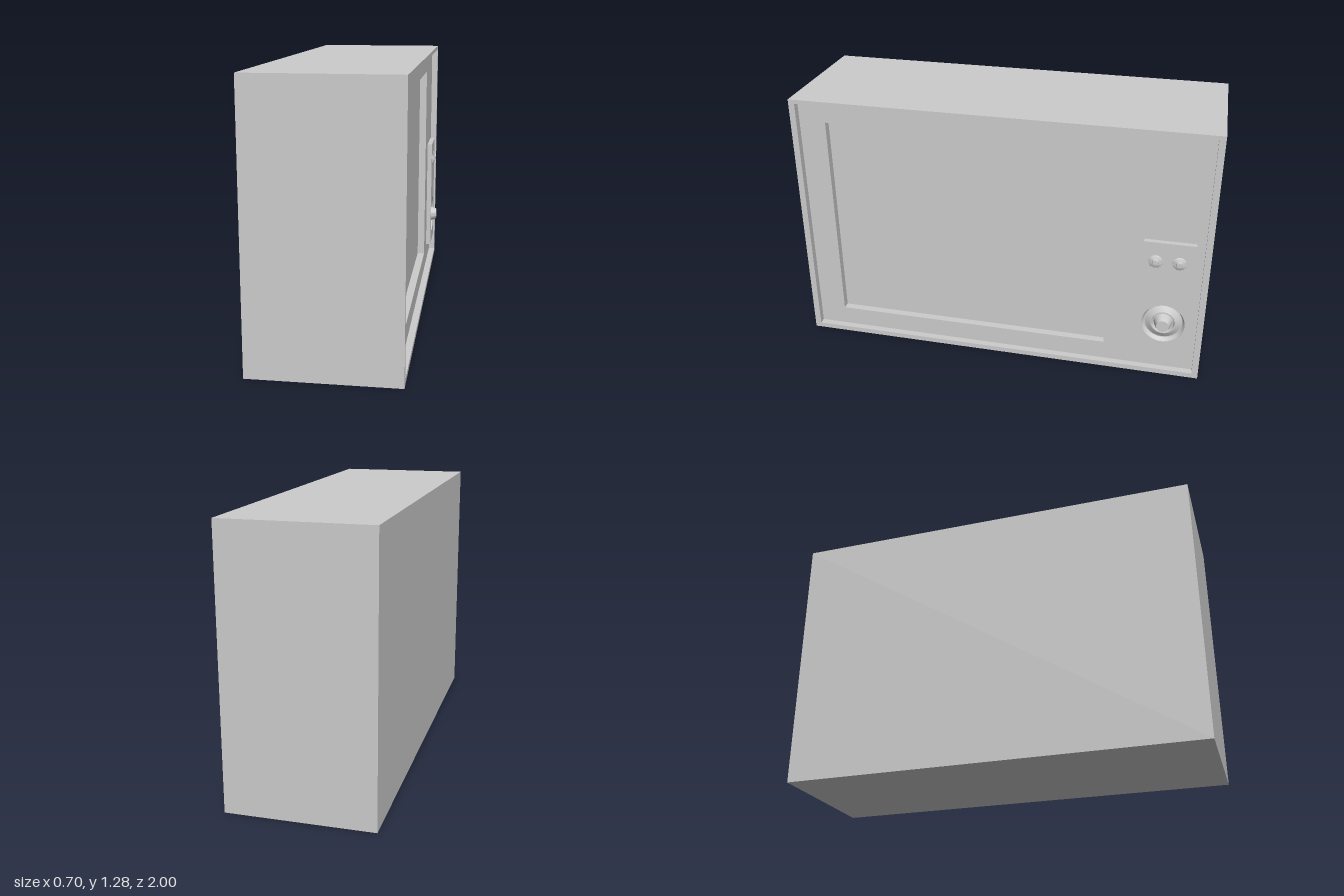
import * as THREE from 'three';
import { toCreasedNormals } from 'three/addons/utils/BufferGeometryUtils.js';

const material = new THREE.MeshStandardMaterial({ color: 0xcccccc });

// Rectangle in the screen plane: u runs along -z, v along y
function rect(path, u0, u1, v0, v1) {
  path.moveTo(u0, v0);
  path.lineTo(u1, v0);
  path.lineTo(u1, v1);
  path.lineTo(u0, v1);
  path.closePath();
  return path;
}

// Plate with optional holes, running from x0 to x1
function plate(name, bounds, holes, x0, x1) {
  const shape = rect(new THREE.Shape(), ...bounds);
  shape.holes.push(...holes);
  const geometry = new THREE.ExtrudeGeometry(shape, {
    depth: x1 - x0, bevelEnabled: false, curveSegments: 24,
  });
  geometry.translate(0, 0, x0).rotateY(Math.PI / 2);
  const mesh = new THREE.Mesh(geometry, material);
  mesh.name = name;
  return mesh;
}

// Turned part facing +x; profile goes from the outer edge to the centre
function turned(name, profile, x, y, z, segments = 32) {
  const points = profile.map(([r, h]) => new THREE.Vector2(r, h));
  const geometry = toCreasedNormals(new THREE.LatheGeometry(points, segments), 0.5);
  geometry.rotateZ(-Math.PI / 2);
  const mesh = new THREE.Mesh(geometry, material);
  mesh.name = name;
  mesh.position.set(x, y, z);
  return mesh;
}

export function createModel() {
  const group = new THREE.Group();
  group.name = 'television';

  const outer = [-1, 1, 0, 1.28];
  const face = [-0.97, 0.97, 0.025, 1.26];
  const screen = [-0.84, 0.53, 0.12, 1.165];
  const hole = (b) => rect(new THREE.Path(), ...b);

  // Cabinet with a thin rim around the recessed face
  group.add(plate('cabinet', outer, [], -0.35, 0.25));
  group.add(plate('cabinetRim', outer, [hole(face)], 0.25, 0.33));

  // Face board, cut out so the screen sits further back
  group.add(plate('faceBoard', face, [hole(screen)], 0.25, 0.297));
  group.add(plate('screen', screen, [], 0.25, 0.26));

  // Control panel with a round opening for the dial
  const dialY = 0.29, dialZ = -0.81;
  const opening = new THREE.Path().absarc(-dialZ, dialY, 0.103, 0, Math.PI * 2, true);
  group.add(plate('controlPanel', [0.69, 0.93, 0.13, 0.73], [opening], 0.297, 0.322));

  // Dial: sunken cup, sloping skirt, groove and a tapered knob
  group.add(turned('tuningDial', [
    [0.104, 0.022], [0.092, 0.002], [0.088, 0.002], [0.06, 0.018], [0.055, 0.018],
    [0.05, 0.006], [0.045, 0.006], [0.037, 0.033], [0.03, 0.05], [0, 0.05],
  ], 0.297, dialY, dialZ));

  // Two small domed buttons
  for (const z of [-0.75, -0.86]) {
    group.add(turned('button', [
      [0.034, 0], [0.032, 0.003], [0.026, 0.006], [0.016, 0.009], [0.013, 0.015], [0, 0.016],
    ], 0.321, 0.63, z, 20));
  }
  return group;
}
